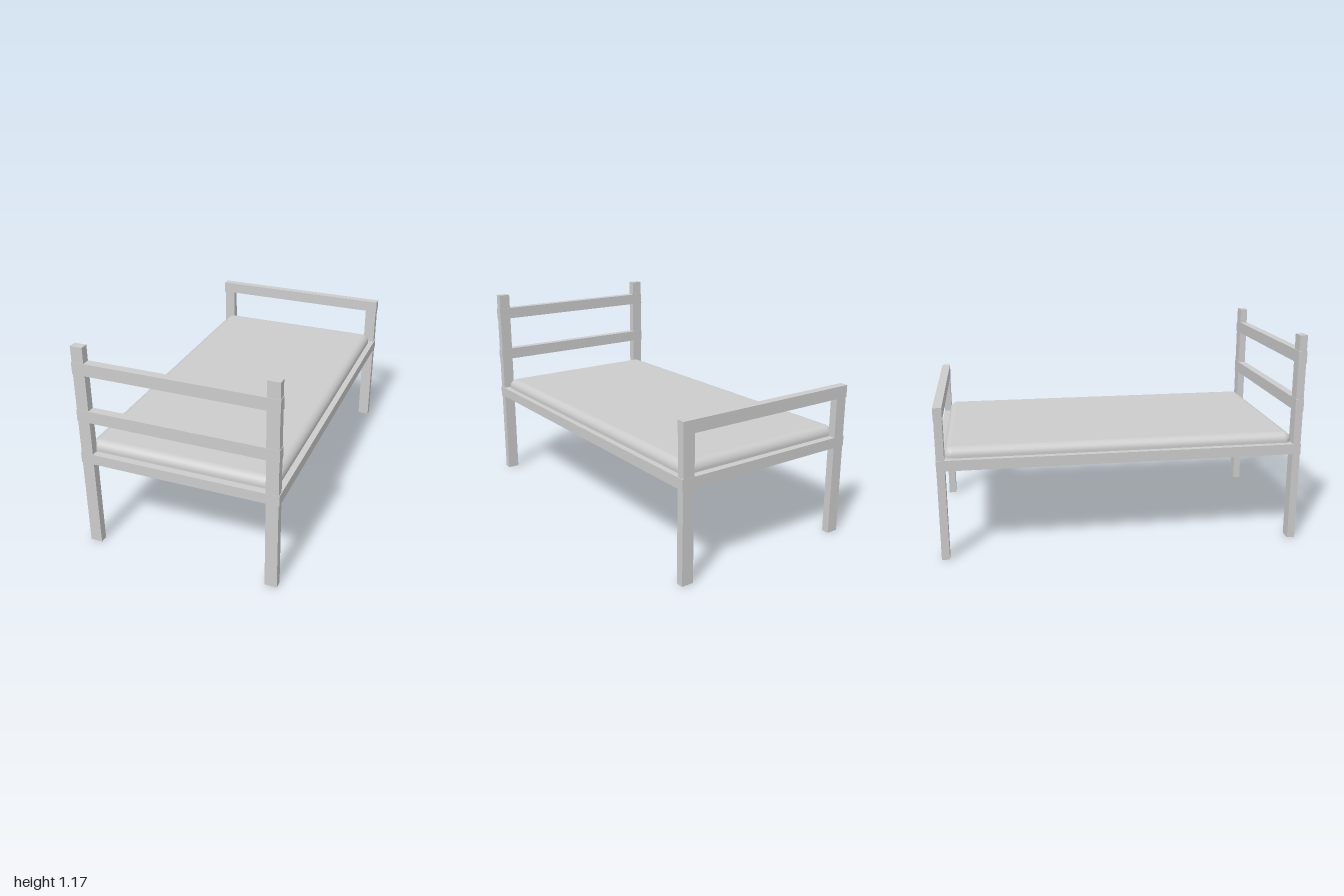
import * as THREE from 'three';
import { RoundedBoxGeometry } from 'three/addons/geometries/RoundedBoxGeometry.js';

export function createModel() {
  const bed = new THREE.Group();
  bed.name = 'bed';
  const material = new THREE.MeshStandardMaterial({ color: 0xcccccc });

  // Box given by its lower and upper corners
  const box = (name, parent, [x0, y0, z0], [x1, y1, z1]) => {
    const mesh = new THREE.Mesh(new THREE.BoxGeometry(x1 - x0, y1 - y0, z1 - z0), material);
    mesh.position.set((x0 + x1) / 2, (y0 + y1) / 2, (z0 + z1) / 2);
    mesh.name = name;
    parent.add(mesh);
  };

  // End frame: two posts joined by cross rails
  const endFrame = (name, side, postTop, railBottoms) => {
    const frame = new THREE.Group();
    frame.name = name;
    const z0 = side > 0 ? 0.955 : -0.998;
    const z1 = side > 0 ? 0.998 : -0.955;
    for (const s of [-1, 1]) {
      const x = s * 0.5125;
      box(s > 0 ? 'leftPost' : 'rightPost', frame, [x - 0.0335, 0, z0], [x + 0.0335, postTop, z1]);
    }
    for (const y of railBottoms) {
      box('crossRail', frame, [-0.549, y, z0 - 0.002], [0.549, y + 0.067, z1 + 0.002]);
    }
    bed.add(frame);
  };
  endFrame('headboard', 1, 1.175, [0.755, 1.022]);
  endFrame('footboard', -1, 0.845, [0.783]);

  // Solid bed base
  box('bedBase', bed, [-0.55, 0.506, -0.999], [0.55, 0.564, 0.999]);

  // Soft-edged mattress, partly sunk into the base
  const mattress = new THREE.Mesh(new RoundedBoxGeometry(1.034, 0.108, 1.92, 6, 0.045), material);
  mattress.name = 'mattress';
  mattress.position.y = 0.566;
  bed.add(mattress);

  return bed;
}
